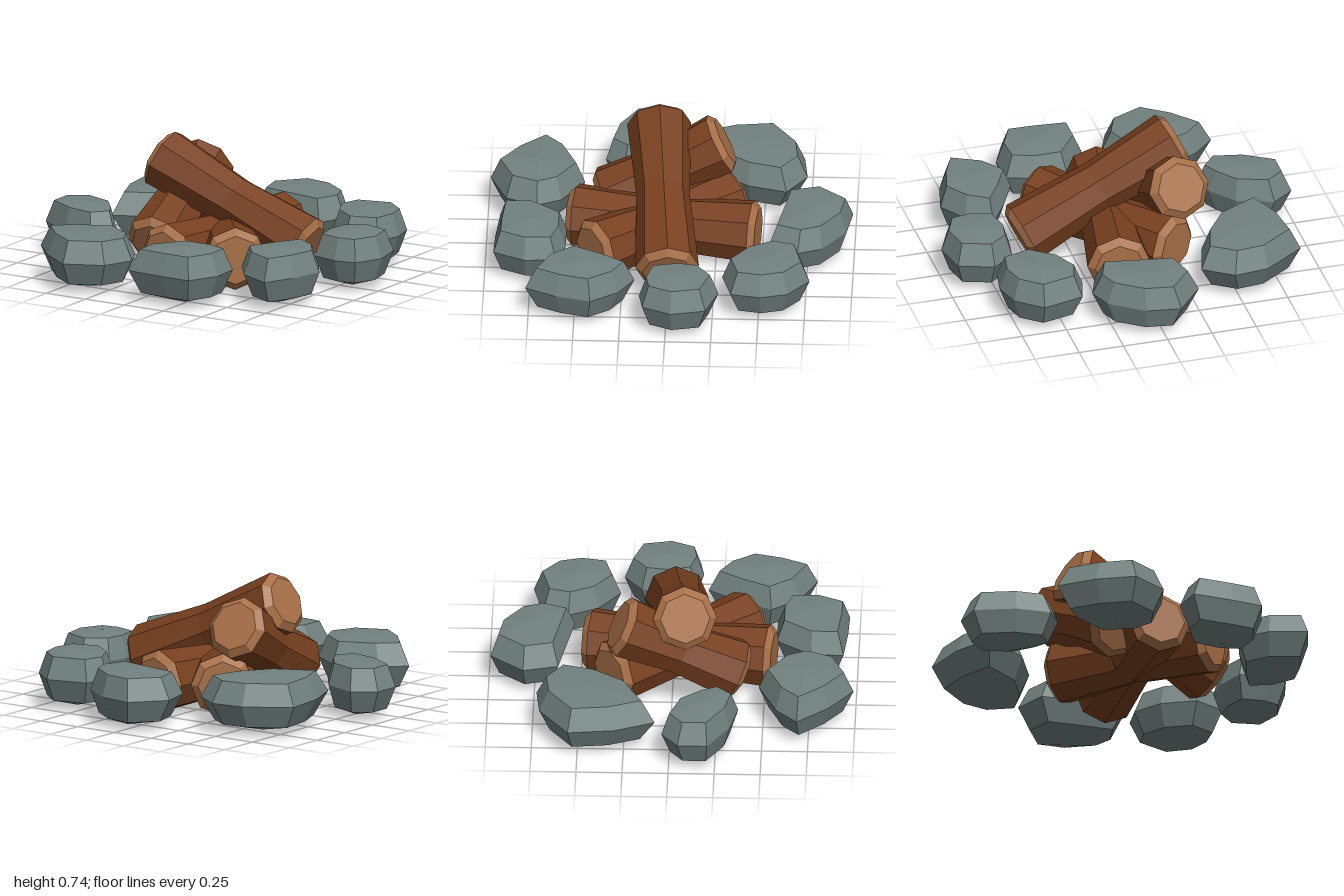
import * as THREE from 'three';

const material = (color) => new THREE.MeshStandardMaterial({ color, flatShading: true });

// Faceted stone: an outline at mid height, narrowed above and below, closed by shallow peaks
function stone(name, outline, mat) {
  const n = outline.length;
  const cx = outline.reduce((s, p) => s + p[0], 0) / n;
  const cz = outline.reduce((s, p) => s + p[1], 0) / n;
  const ring = (scale, y) => outline.map(([x, z]) => [cx + (x - cx) * scale, y, cz + (z - cz) * scale]);
  const rings = [ring(0.78, 0.055), ring(1, 0.18), ring(0.8, 0.3)];
  const top = [cx, 0.315, cz], bottom = [cx, 0.005, cz];
  const pos = [];
  for (let i = 0; i < n; i++) {
    const j = (i + 1) % n;
    pos.push(...bottom, ...rings[0][i], ...rings[0][j]);
    for (let k = 0; k < 2; k++) {
      const lo = rings[k], hi = rings[k + 1];
      pos.push(...lo[j], ...lo[i], ...hi[i], ...lo[j], ...hi[i], ...hi[j]);
    }
    pos.push(...top, ...rings[2][j], ...rings[2][i]);
  }
  const geo = new THREE.BufferGeometry();
  geo.setAttribute('position', new THREE.Float32BufferAttribute(pos, 3));
  geo.computeVertexNormals();
  const mesh = new THREE.Mesh(geo, mat);
  mesh.name = name;
  return mesh;
}

// Eight-sided log with a slight waist and pale bevelled ends, running from a to b
function log(name, a, b, bark, wood) {
  const start = new THREE.Vector3(...a), end = new THREE.Vector3(...b);
  const h = start.distanceTo(end) / 2, bevel = 0.035;
  const lathe = (profile) =>
    new THREE.LatheGeometry(profile.map(([r, y]) => new THREE.Vector2(r, y)), 8);
  const group = new THREE.Group();
  group.name = name;
  const add = (part, profile, mat) => {
    const mesh = new THREE.Mesh(lathe(profile), mat);
    mesh.name = part;
    group.add(mesh);
  };
  add('bark', [[0.174, bevel - h], [0.145, 0], [0.174, h - bevel]], bark);
  add('lowerCutEnd', [[0, -h], [0.135, -h], [0.174, bevel - h]], wood);
  add('upperCutEnd', [[0.174, h - bevel], [0.135, h], [0, h]], wood);

  // Aim the log along its axis with one ridge pointing upwards
  const dir = end.clone().sub(start).normalize();
  const side = new THREE.Vector3().crossVectors(dir, new THREE.Vector3(0, 1, 0)).normalize();
  const up = new THREE.Vector3().crossVectors(side, dir);
  group.quaternion.setFromRotationMatrix(new THREE.Matrix4().makeBasis(side, dir, up));
  group.position.copy(start).add(end).multiplyScalar(0.5);
  return group;
}

export function createModel() {
  const model = new THREE.Group();
  model.name = 'campfire';
  const rock = material(0x728280), bark = material(0x78401f), wood = material(0xa87048);

  // Ring of stones, each given by its plan outline [x, z]
  const stones = {
    backStone: [[-0.08, -0.99], [0.11, -0.96], [0.29, -0.83], [0.34, -0.7], [0.28, -0.54], [-0.18, -0.62], [-0.23, -0.81]],
    backRightStone: [[-0.46, -0.73], [-0.3, -0.62], [-0.36, -0.41], [-0.5, -0.21], [-0.76, -0.08], [-0.85, -0.3], [-0.88, -0.55], [-0.65, -0.71]],
    rightStone: [[-0.88, -0.04], [-0.68, 0.03], [-0.57, 0.17], [-0.52, 0.27], [-0.61, 0.37], [-0.8, 0.33], [-1, 0.21], [-1, 0.05]],
    frontRightStone: [[-0.37, 0.475], [-0.18, 0.6], [-0.12, 0.73], [-0.19, 0.9], [-0.4, 0.99], [-0.58, 0.86], [-0.73, 0.69], [-0.61, 0.575]],
    frontStone: [[0.12, 0.56], [0.31, 0.56], [0.45, 0.61], [0.46, 0.78], [0.38, 0.95], [0.21, 0.945], [-0.02, 0.925], [-0.02, 0.75]],
    frontLeftStone: [[0.645, 0.175], [0.78, 0.26], [0.88, 0.41], [0.83, 0.6], [0.75, 0.765], [0.56, 0.67], [0.45, 0.52], [0.54, 0.34]],
    leftStone: [[0.77, -0.285], [0.96, -0.22], [1, -0.03], [0.93, 0.125], [0.81, 0.145], [0.66, 0.105], [0.625, -0.06], [0.645, -0.19]],
    backLeftStone: [[0.63, -0.775], [0.77, -0.66], [0.81, -0.51], [0.78, -0.35], [0.6, -0.3], [0.44, -0.42], [0.36, -0.58], [0.4, -0.72]],
  };
  for (const [name, outline] of Object.entries(stones)) model.add(stone(name, outline, rock));

  // Two logs on the ground, two leaning across them
  model.add(
    log('groundLog', [-0.035, 0.18, 0.55], [0.12, 0.18, -0.48], bark, wood),
    log('diagonalGroundLog', [0.35, 0.18, 0.42], [-0.24, 0.18, -0.34], bark, wood),
    log('rearLeaningLog', [-0.2, 0.18, 0.37], [-0.28, 0.51, -0.29], bark, wood),
    log('topLeaningLog', [0.56, 0.185, 0], [-0.36, 0.6, 0.075], bark, wood),
  );
  return model;
}
